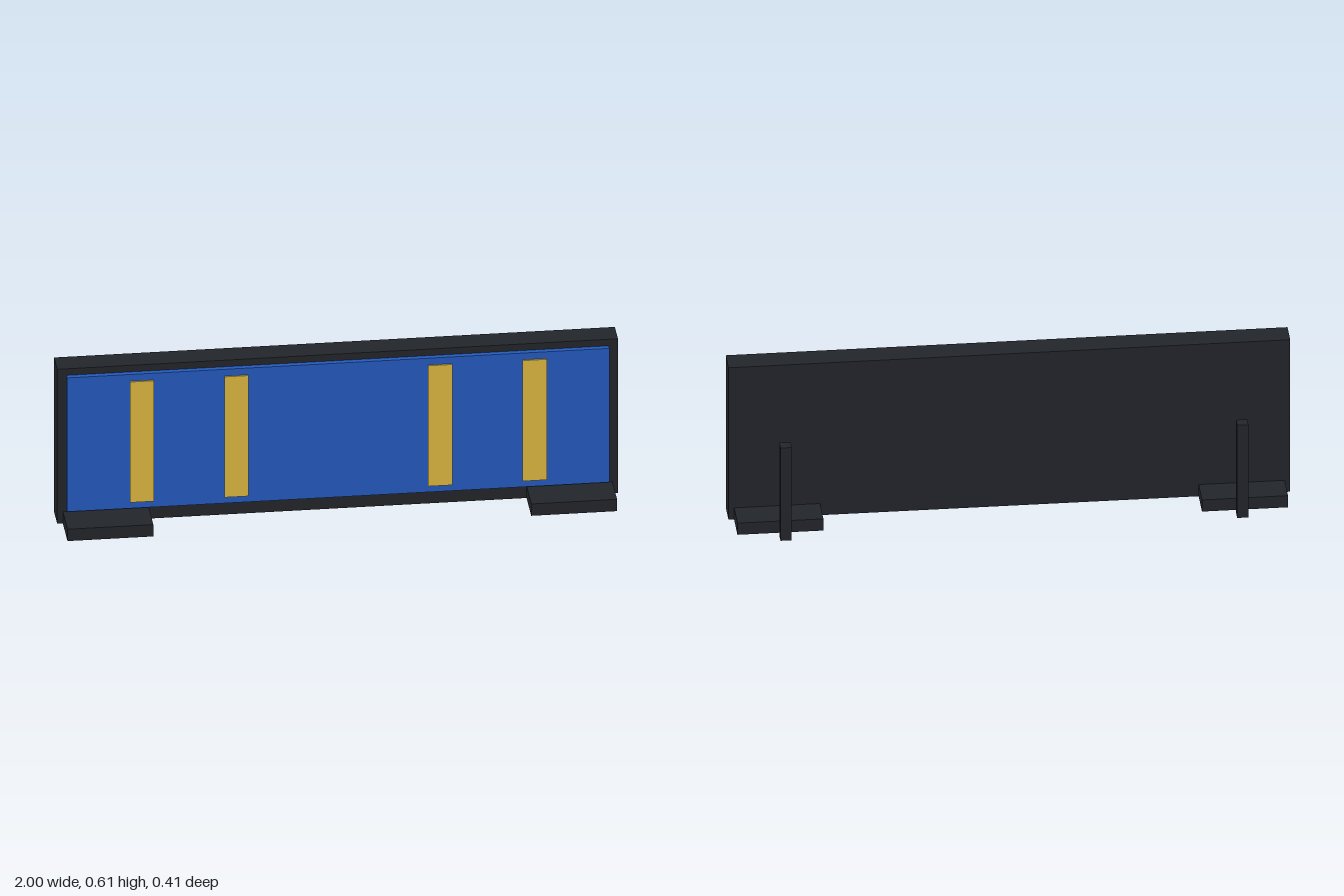
import * as THREE from 'three';

const dark = new THREE.MeshStandardMaterial({ color: 0x22252a });
const blue = new THREE.MeshStandardMaterial({ color: 0x245abe });
const yellow = new THREE.MeshStandardMaterial({ color: 0xdcb741 });

// Box given by its extents along each axis
function block(name, material, [x0, x1], [y0, y1], [z0, z1]) {
  const mesh = new THREE.Mesh(new THREE.BoxGeometry(x1 - x0, y1 - y0, z1 - z0), material);
  mesh.position.set((x0 + x1) / 2, (y0 + y1) / 2, (z0 + z1) / 2);
  mesh.name = name;
  return mesh;
}

export function createModel() {
  const model = new THREE.Group();
  model.name = 'boardStand';

  // Upright board with a raised coloured face
  model.add(block('board', dark, [-1, 1], [0, 0.613], [-0.029, 0.064]));
  model.add(block('facePanel', blue, [-0.967, 0.967], [0.055, 0.587], [0.064, 0.084]));

  for (const side of [-1, 1]) {
    const label = side > 0 ? 'left' : 'right';

    // Two vertical stripes on each half of the face
    [0.363, 0.7].forEach((d, i) => {
      const x = side * d;
      model.add(block(`${label}${i ? 'Outer' : 'Inner'}Stripe`, yellow,
        [x - 0.043, x + 0.043], [0.081, 0.56], [0.084, 0.09]));
    });

    // Flat foot under each end, and a free-standing post behind it
    const foot = side * 0.827;
    model.add(block(`${label}Foot`, dark,
      [foot - 0.153, foot + 0.153], [0, 0.047], [-0.143, 0.204]));
    const post = side * 0.813;
    model.add(block(`${label}RearPost`, dark,
      [post - 0.02, post + 0.02], [0, 0.374], [-0.203, -0.163]));
  }
  return model;
}
